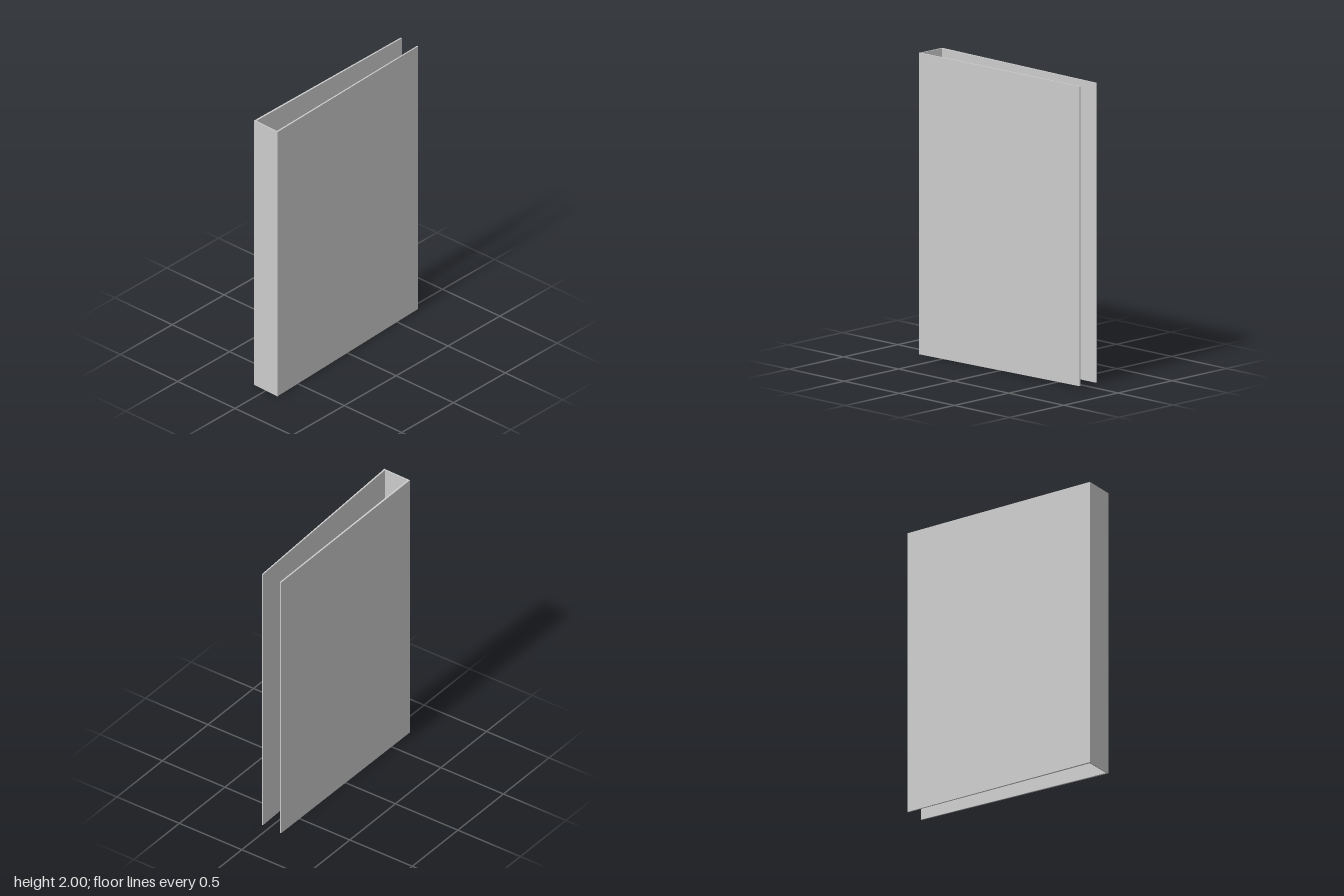
import * as THREE from 'three';

const material = new THREE.MeshStandardMaterial({ color: 0xcccccc, flatShading: true });

// Upright panel from a plan outline of [x, z] corners, its height shrinking slightly toward the back
function panel(name, plan, y0, y1) {
  const shape = new THREE.Shape(plan.map(([x, z]) => new THREE.Vector2(x, -z)));
  const geo = new THREE.ExtrudeGeometry(shape, { depth: y1 - y0, bevelEnabled: false });
  geo.rotateX(-Math.PI / 2).translate(0, y0, 0);
  const p = geo.attributes.position;
  for (let i = 0; i < p.count; i++) {
    const t = (0.705 - p.getZ(i)) / 1.41;
    p.setY(i, 1 + (p.getY(i) - 1) * (1 - 0.006 * t));
  }
  geo.computeVertexNormals();
  const mesh = new THREE.Mesh(geo, material);
  mesh.name = name;
  return mesh;
}

// Faceted ring rising from the spine plate
function ring(y) {
  const pts = [[-0.055, 0.692], [-0.071, 0.64], [-0.044, 0.597], [0.008, 0.583],
    [0.057, 0.607], [0.072, 0.652], [0.049, 0.692]];
  const path = new THREE.CurvePath();
  for (let i = 0; i < pts.length - 1; i++) {
    path.add(new THREE.LineCurve3(
      new THREE.Vector3(pts[i][0], y, pts[i][1]),
      new THREE.Vector3(pts[i + 1][0], y, pts[i + 1][1])));
  }
  const mesh = new THREE.Mesh(new THREE.TubeGeometry(path, 24, 0.004, 6), material);
  mesh.name = 'ring';
  return mesh;
}

export function createModel() {
  const model = new THREE.Group();
  model.name = 'ringBinder';

  // Covers, the left one leaning inward at the back
  model.add(panel('rightCover', [[-0.106, 0.7], [-0.092, 0.7], [-0.092, -0.709], [-0.102, -0.709]], 0, 2));
  model.add(panel('leftCover', [[0.091, 0.704], [0.103, 0.704], [0.054, -0.704], [0.045, -0.704]], 0, 2));

  // Spine and the metal plate inside it
  model.add(panel('spine', [[-0.106, 0.7], [0.104, 0.705], [0.104, 0.697], [-0.106, 0.69]], 0, 2));
  model.add(panel('ringPlate', [[-0.08, 0.694], [0.08, 0.697], [0.08, 0.692], [-0.08, 0.688]], 0.4, 1.6));

  // Rings
  for (const y of [0.73, 1.27]) model.add(ring(y));
  return model;
}
